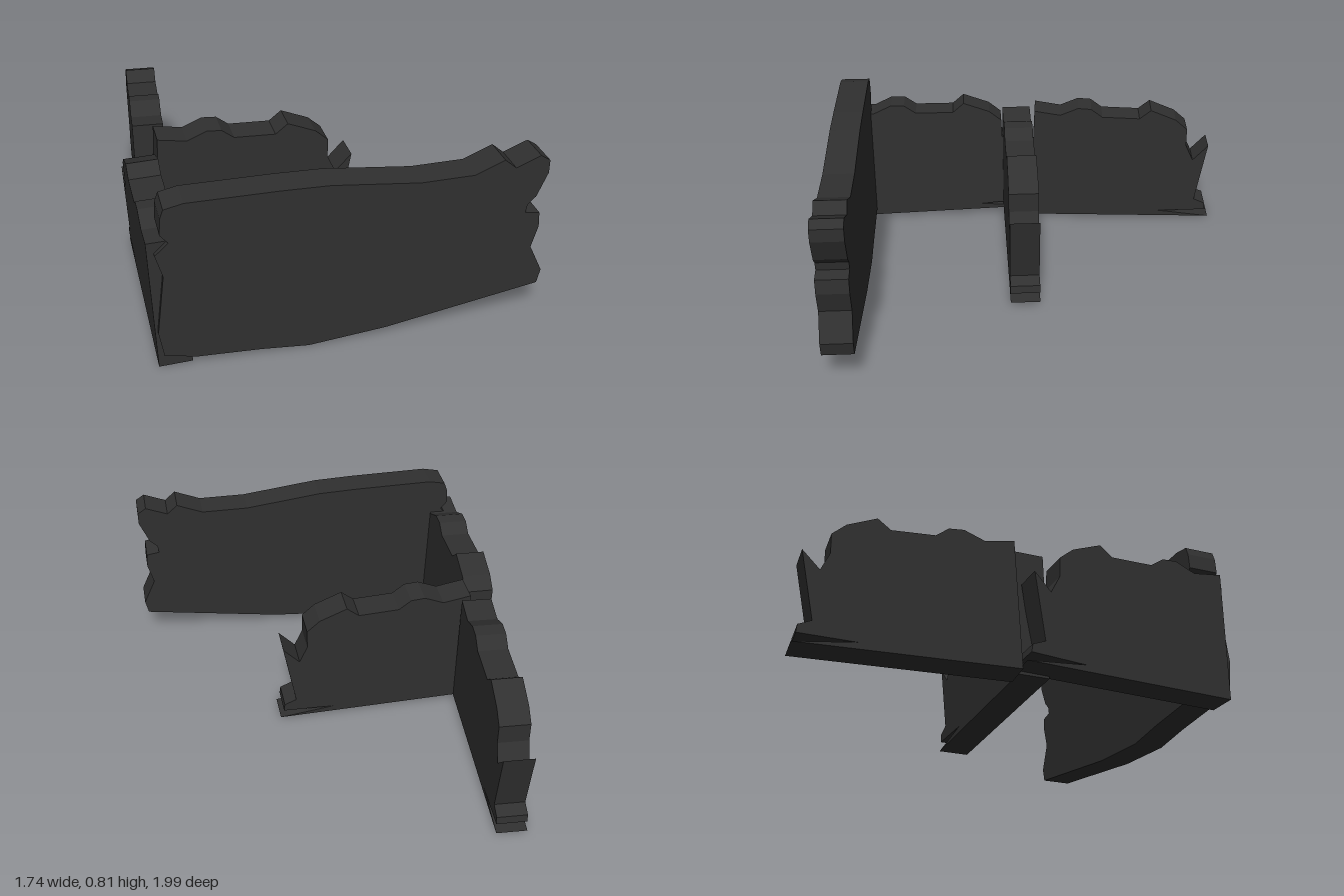
import * as THREE from 'three';

const stone = new THREE.MeshStandardMaterial({ color: 0x303030 });
stone.name = 'charcoal stone';

const THICKNESS = 0.146;

// Broken outline of the long wall: x, y
const longOutline = [
  [-0.83, 0.07], [-0.69, 0.04], [-0.41, 0.026], [-0.2, 0.007], [0.147, 0.04],
  [0.853, 0.16], [0.868, 0.227], [0.806, 0.357], [0.834, 0.46], [0.83, 0.53],
  [0.764, 0.54], [0.77, 0.58], [0.806, 0.615], [0.853, 0.727], [0.853, 0.787],
  [0.81, 0.815], [0.7, 0.77], [0.647, 0.815], [0.516, 0.76], [0.28, 0.757],
  [-0.11, 0.8], [-0.32, 0.805], [-0.717, 0.805], [-0.8, 0.787], [-0.815, 0.745],
  [-0.82, 0.67], [-0.787, 0.63], [-0.845, 0.575], [-0.815, 0.47], [-0.85, 0.19],
];

// Broken outline shared by the three short walls: distance along the wall, y
const shortOutline = [
  [0.005, 0.016], [0.995, 0.01], [0.72, 0.042], [0.978, 0.052], [0.973, 0.09],
  [0.914, 0.115], [0.973, 0.44], [0.893, 0.355], [0.853, 0.44], [0.853, 0.535],
  [0.79, 0.59], [0.655, 0.645], [0.595, 0.597], [0.395, 0.605], [0.335, 0.65],
  [0.265, 0.655], [0.17, 0.615], [0.032, 0.638],
];

// Flat slab: outline in x/y pushed along +z
function slab(name, outline) {
  const shape = new THREE.Shape(outline.map(([x, y]) => new THREE.Vector2(x, y)));
  const geometry = new THREE.ExtrudeGeometry(shape, { depth: THICKNESS, bevelEnabled: false });
  const mesh = new THREE.Mesh(geometry, stone);
  mesh.name = name;
  return mesh;
}

export function createModel() {
  const model = new THREE.Group();
  model.name = 'ruinedWalls';

  // Long wall across the front
  const front = slab('frontWall', longOutline);
  front.position.z = 1 - THICKNESS;

  // Short wall across the middle
  const middle = slab('middleWall', shortOutline);
  middle.position.set(-0.738, 0.006, 0.001);

  // Side wall running back from the middle, turned slightly
  const backSide = slab('backSideWall', shortOutline);
  backSide.rotation.y = Math.PI / 2 - 0.075;
  backSide.position.set(-0.802, 0, -0.002);

  // Side wall joining front and middle, leaning outwards
  const frontSide = new THREE.Group();
  frontSide.name = 'frontSideWall';
  const frontSlab = slab('frontSideSlab', shortOutline);
  frontSlab.rotation.y = Math.PI / 2;
  frontSide.add(frontSlab);
  frontSide.rotation.set(0.038, 0, 0.035);
  frontSide.position.set(-0.854, -0.014, 0.985);

  model.add(front, middle, backSide, frontSide);
  return model;
}
